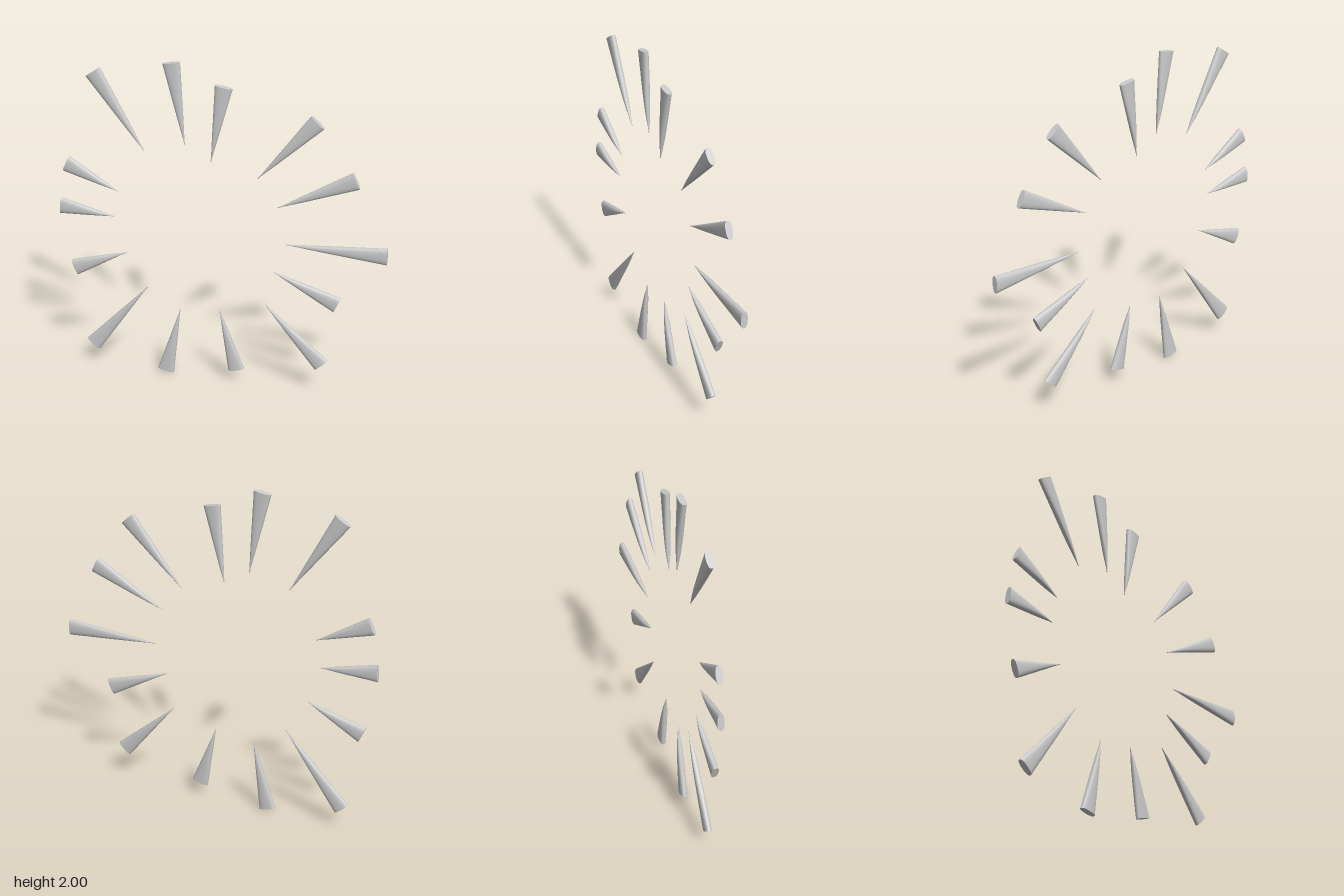
import * as THREE from 'three';

const HALF_WIDTH = 0.051, HALF_DEPTH = 0.02;

// Each spike: inner tip x, y, then centre of the outer base x, y
const SPIKES = [
  [-0.203, 1.517, -0.275, 1.991], [-0.05, 1.426, 0.025, 1.877],
  [0.222, 1.353, 0.556, 1.722], [0.34, 1.188, 0.782, 1.4],
  [0.395, 0.963, 0.977, 0.96], [0.325, 0.778, 0.705, 0.613],
  [0.28, 0.555, 0.625, 0.198], [0.002, 0.475, 0.107, 0.086],
  [-0.243, 0.45, -0.34, 0.013], [-0.445, 0.576, -0.806, 0.133],
  [-0.573, 0.79, -0.905, 0.65], [-0.642, 1.018, -0.975, 1.052],
  [-0.613, 1.183, -0.928, 1.325], [-0.445, 1.453, -0.737, 1.9],
];

// Flattened spike: straight taper in width, rounded taper in depth, flat outer end
function spikeGeometry(length) {
  const geo = new THREE.CylinderGeometry(1, 1, length, 32, 16);
  const pos = geo.attributes.position;
  const soften = (v) => Math.sign(v) * Math.abs(v) ** 0.8;
  for (let i = 0; i < pos.count; i++) {
    const t = pos.getY(i) / length + 0.5;
    const width = HALF_WIDTH * Math.max(t, 0.04);
    const depth = HALF_DEPTH * Math.max(1 - (1 - t) ** 4, 0.12);
    pos.setX(i, soften(pos.getX(i)) * width);
    pos.setZ(i, soften(pos.getZ(i)) * depth);
  }
  geo.computeVertexNormals();
  return geo;
}

export function createModel() {
  const model = new THREE.Group();
  model.name = 'spikeRing';
  const material = new THREE.MeshStandardMaterial({ color: 0xcccccc });

  // Ring of spikes pointing inwards
  SPIKES.forEach(([tx, ty, bx, by], i) => {
    const dx = bx - tx, dy = by - ty;
    const spike = new THREE.Mesh(spikeGeometry(Math.hypot(dx, dy)), material);
    spike.name = `spike${i + 1}`;
    spike.position.set((tx + bx) / 2, (ty + by) / 2, 0);
    spike.rotation.z = Math.atan2(-dx, dy);
    model.add(spike);
  });
  return model;
}
